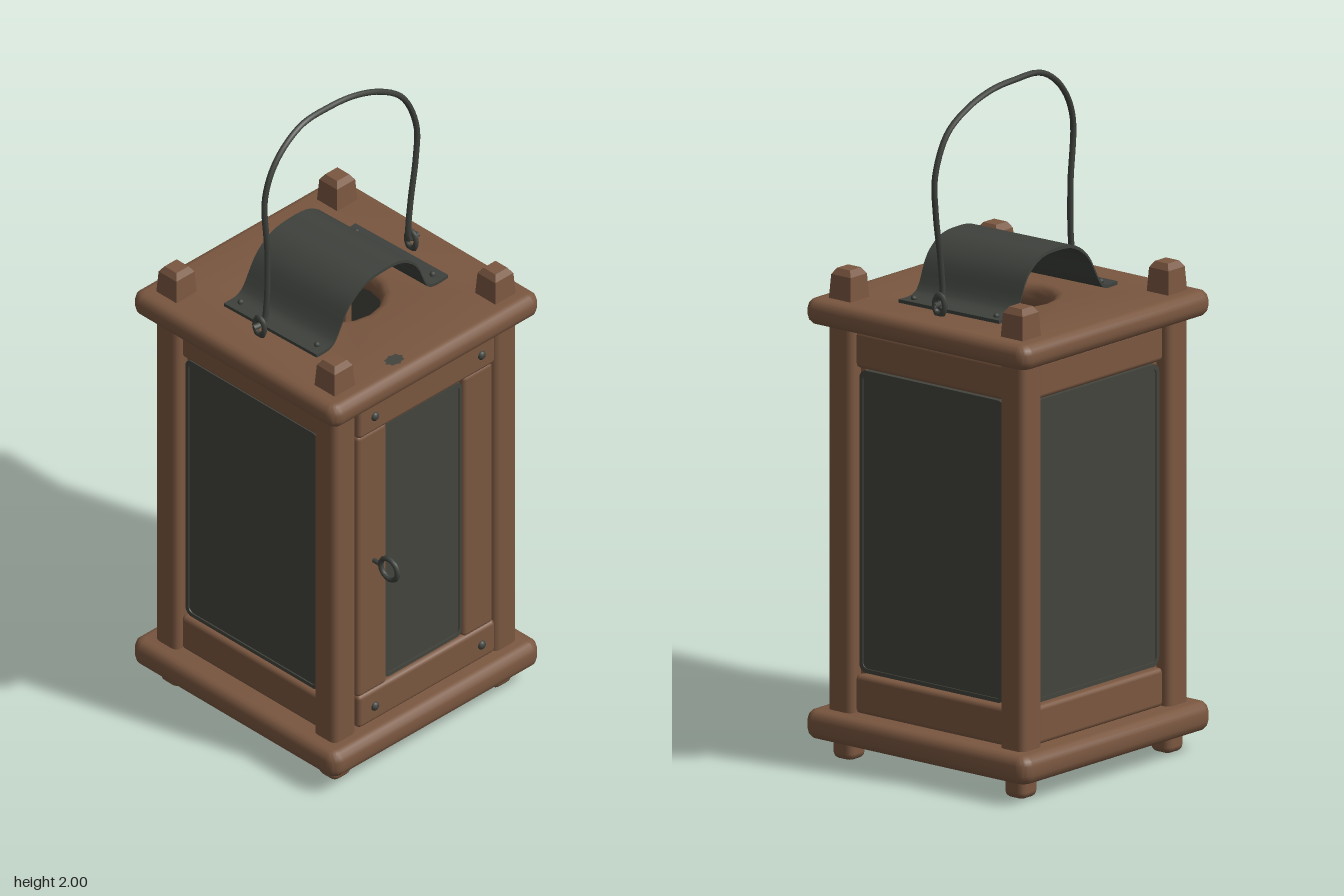
import * as THREE from 'three';
import { toCreasedNormals } from 'three/addons/utils/BufferGeometryUtils.js';
import { RoundedBoxGeometry } from 'three/addons/geometries/RoundedBoxGeometry.js';

export function createModel() {
  const wood = new THREE.MeshStandardMaterial({ name: 'brown wood', color: 0x7a5740 });
  const pane = new THREE.MeshStandardMaterial({ name: 'dark pane', color: 0x43443d });
  const iron = new THREE.MeshStandardMaterial({ name: 'dark iron', color: 0x3e413c });

  const model = new THREE.Group();
  model.name = 'lantern';
  const body = new THREE.Group();
  body.name = 'body';
  body.position.z = -0.025;
  model.add(body);

  const add = (parent, name, geometry, material, x = 0, y = 0, z = 0) => {
    const mesh = new THREE.Mesh(geometry, material);
    mesh.name = name;
    mesh.position.set(x, y, z);
    parent.add(mesh);
    return mesh;
  };
  const block = (parent, name, w, h, d, x, y, z, material = wood, r = 0.014) =>
    add(parent, name, new RoundedBoxGeometry(w, h, d, 2, r), material, x, y, z);

  // Rounded rectangle outline centred on the origin
  const roundRect = (w, h, r) => {
    const s = new THREE.Shape();
    const a = w / 2 - r, b = h / 2 - r;
    s.absarc(a, b, r, 0, Math.PI / 2);
    s.absarc(-a, b, r, Math.PI / 2, Math.PI);
    s.absarc(-a, -b, r, Math.PI, Math.PI * 1.5);
    s.absarc(a, -b, r, Math.PI * 1.5, Math.PI * 2);
    return s;
  };

  // Horizontal boards with rounded edges; the roof board has a smoke hole
  const board = (name, y, thick, holeRadius) => {
    const bevel = 0.028;
    const shape = roundRect(0.83 - 2 * bevel, 0.83 - 2 * bevel, 0.012);
    if (holeRadius) {
      const hole = new THREE.Path();
      hole.absarc(0, 0, holeRadius + bevel, 0, Math.PI * 2, true);
      shape.holes.push(hole);
    }
    const g = new THREE.ExtrudeGeometry(shape, {
      depth: thick - 2 * bevel, bevelThickness: bevel, bevelSize: bevel, bevelSegments: 3, curveSegments: 8,
    });
    g.rotateX(-Math.PI / 2);
    add(body, name, toCreasedNormals(g, 0.7), wood, 0, y + bevel, 0);
  };
  board('baseBoard', 0.06, 0.085);
  board('roofBoard', 1.28, 0.075, 0.13);

  // Corner posts with square feet and tapered tips
  const taper = (top, bottom, h) => {
    const g = new THREE.CylinderGeometry(top * Math.SQRT1_2, bottom * Math.SQRT1_2, h, 4);
    g.rotateY(Math.PI / 4);
    return toCreasedNormals(g, 0.5);
  };
  for (const sx of [-1, 1]) for (const sz of [-1, 1]) {
    const x = sx * 0.32, z = sz * 0.32;
    block(body, 'post', 0.09, 1.2, 0.09, x, 0.715, z, wood, 0.02);
    block(body, 'foot', 0.074, 0.1, 0.074, x, 0.05, z, wood, 0.02);
    add(body, 'postTip', taper(0.072, 0.082, 0.075), wood, x, 1.3875, z);
    add(body, 'postTipCap', taper(0.048, 0.072, 0.018), wood, x, 1.434, z);
  }

  // Pane with a slim raised rim
  const window = (parent, w, h, x, y, z) => {
    const rim = roundRect(w, h, 0.025);
    rim.holes.push(roundRect(w - 0.024, h - 0.024, 0.018));
    add(parent, 'paneRim', new THREE.ExtrudeGeometry(rim, { depth: 0.02, bevelEnabled: false, curveSegments: 4 }),
      pane, x, y, z - 0.008);
    block(parent, 'pane', w - 0.01, h - 0.01, 0.016, x, y, z, pane, 0.004);
  };

  // Fixed walls on the left, right and back
  for (let i = 1; i <= 3; i++) {
    const wall = new THREE.Group();
    wall.name = ['leftWall', 'backWall', 'rightWall'][i - 1];
    wall.rotation.y = i * Math.PI / 2;
    body.add(wall);
    block(wall, 'topRail', 0.56, 0.11, 0.05, 0, 1.215, 0.318);
    block(wall, 'bottomRail', 0.56, 0.115, 0.05, 0, 0.2, 0.318);
    for (const s of [-1, 1]) block(wall, 'paneStrip', 0.03, 0.92, 0.03, s * 0.271, 0.71, 0.305, wood, 0.006);
    window(wall, 0.54, 0.89, 0, 0.71, 0.322);
  }

  // Door with rivets and a ring pull
  const door = new THREE.Group();
  door.name = 'door';
  door.position.z = 0.345;
  body.add(door);
  block(door, 'doorTopRail', 0.545, 0.112, 0.05, 0, 1.216, 0);
  block(door, 'doorBottomRail', 0.545, 0.112, 0.05, 0, 0.208, 0);
  block(door, 'doorStileRight', 0.118, 0.91, 0.042, -0.214, 0.712, 0);
  block(door, 'doorStileLeft', 0.118, 0.91, 0.042, 0.208, 0.712, 0);
  window(door, 0.315, 0.885, -0.005, 0.71, 0);
  for (const x of [-0.21, 0.215]) for (const y of [0.205, 1.216]) {
    const rivet = add(door, 'rivet', new THREE.SphereGeometry(0.014, 10, 6), iron, x, y, 0.026);
    rivet.scale.z = 0.7;
  }
  const ring = add(door, 'ringPull', new THREE.TorusGeometry(0.034, 0.008, 8, 16), iron, -0.21, 0.712, 0.083);
  ring.rotation.set(0, Math.PI / 2, -0.45);
  const stem = add(door, 'ringStem', new THREE.CylinderGeometry(0.007, 0.007, 0.04, 8), iron, -0.21, 0.712, 0.035);
  stem.rotation.x = Math.PI / 2;

  // Curved sheet-metal hood above the smoke hole
  const curve = new THREE.CatmullRomCurve3([
    [-0.27, 1.361], [-0.22, 1.361], [-0.195, 1.375], [-0.135, 1.468], [-0.07, 1.51], [0, 1.519],
    [0.08, 1.51], [0.14, 1.466], [0.185, 1.375], [0.215, 1.361], [0.27, 1.361],
  ].map(([x, y]) => new THREE.Vector3(x, y, 0)), false, 'centripetal');
  const line = curve.getPoints(36);
  const outline = new THREE.Shape([
    ...line.map((p) => new THREE.Vector2(p.x, p.y + 0.005)),
    ...line.slice().reverse().map((p) => new THREE.Vector2(p.x, p.y - 0.005)),
  ]);
  const hoodGeo = new THREE.ExtrudeGeometry(outline, { depth: 0.365, bevelEnabled: false });
  hoodGeo.translate(0, 0, -0.1825);
  const hood = new THREE.Group();
  hood.name = 'hood';
  hood.position.z = -0.025;
  hood.rotation.y = 0.03;
  model.add(hood);
  add(hood, 'hoodSheet', toCreasedNormals(hoodGeo, 0.7), iron);
  for (const x of [-0.235, 0.24]) for (const z of [-0.15, 0.15]) {
    add(hood, 'hoodNail', new THREE.SphereGeometry(0.009, 8, 6), iron, x, 1.368, z);
  }

  // Bent wire handle hooked into two staples
  const handle = new THREE.CatmullRomCurve3([
    [-0.325, 1.392, -0.03], [-0.29, 1.395, -0.025], [-0.278, 1.45, -0.024], [-0.27, 1.62, -0.028],
    [-0.274, 1.82, -0.033], [-0.22, 1.92, -0.04], [-0.12, 1.985, -0.046], [0, 1.99, -0.05],
    [0.1, 1.98, -0.048], [0.2, 1.945, -0.043], [0.28, 1.885, -0.036], [0.325, 1.77, -0.03],
    [0.32, 1.66, -0.028], [0.296, 1.52, -0.025], [0.287, 1.41, -0.025], [0.295, 1.39, -0.027], [0.33, 1.39, -0.03],
  ].map((p) => new THREE.Vector3(...p)), false, 'centripetal');
  add(model, 'wireHandle', new THREE.TubeGeometry(handle, 80, 0.009, 7), iron);
  for (const x of [-0.302, 0.302]) {
    const staple = add(model, 'staple', new THREE.TorusGeometry(0.019, 0.008, 7, 14), iron, x, 1.385, -0.027);
    staple.rotation.y = Math.PI / 2;
    staple.scale.y = 1.5;
  }

  // Scorched patch on the roof
  const spot = new THREE.Shape();
  for (let i = 0; i < 16; i++) {
    const a = i / 16 * Math.PI * 2, r = i % 2 ? 0.8 : 1;
    spot[i ? 'lineTo' : 'moveTo'](Math.cos(a) * 0.034 * r, Math.sin(a) * 0.025 * r);
  }
  const patch = add(model, 'roofPatch', new THREE.ShapeGeometry(spot), pane, -0.115, 1.3565, 0.327);
  patch.rotation.x = -Math.PI / 2;

  return model;
}
